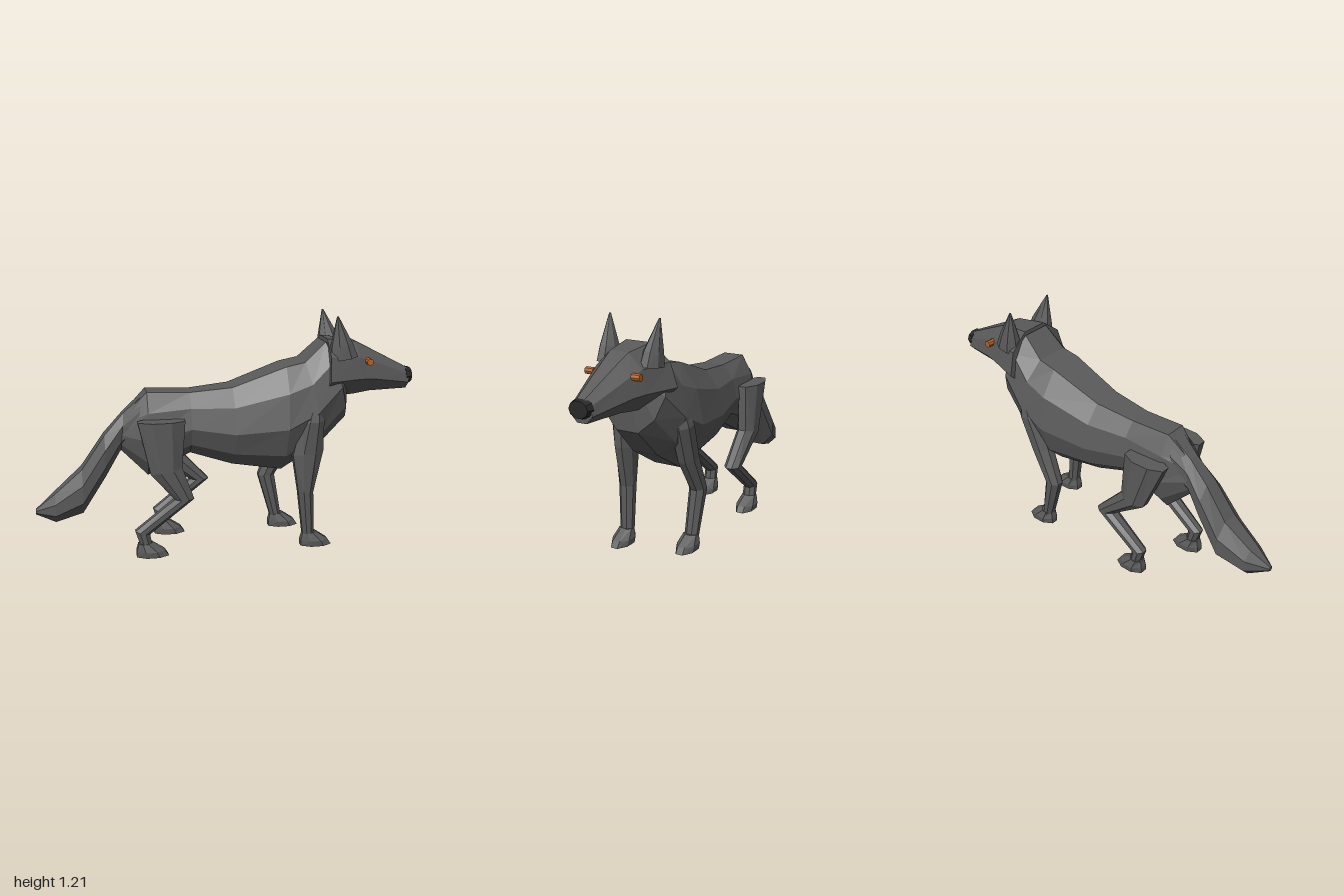
import * as THREE from 'three';

const mat = (name, color) => {
  const m = new THREE.MeshStandardMaterial({ color, flatShading: true });
  m.name = name;
  return m;
};

// cross-sections as [position between the two outline points (-1..1), share of half width]
const mirrored = half => [...half, ...half.map(([v, w]) => [v, -w]).reverse()];
const BODY = mirrored([[1, 0.42], [0.55, 0.84], [-0.1, 1], [-0.65, 0.78], [-1, 0.34]]);
const HEAD = mirrored([[1, 0.34], [0.47, 0.83], [-0.33, 1], [-1, 0.42]]);
const ROUND = mirrored([[1, 0.4], [0.4, 1], [-0.4, 1], [-1, 0.4]]);

// Loft through rings [ax, ay, bx, by, z, halfWidth]; a and b are opposite outline points in the xy plane
function loft(rings, section) {
  const n = section.length, pos = [], index = [];
  for (const [ax, ay, bx, by, z, hw] of rings)
    for (const [v, w] of section) {
      const t = (v + 1) / 2;
      pos.push(bx + (ax - bx) * t, by + (ay - by) * t, z + hw * w);
    }
  const tri = (a, b, c) => index.push(a, b, c);
  for (let r = 0; r < rings.length - 1; r++)
    for (let i = 0; i < n; i++) {
      const a = r * n + i, b = r * n + (i + 1) % n;
      tri(a, b, a + n);
      tri(b, b + n, a + n);
    }
  const last = (rings.length - 1) * n;
  for (let i = 1; i < n - 1; i++) {
    tri(0, i + 1, i);
    tri(last, last + i, last + i + 1);
  }
  // turn the faces outward if the enclosed volume is negative
  const p = i => new THREE.Vector3().fromArray(pos, i * 3);
  let volume = 0;
  for (let i = 0; i < index.length; i += 3)
    volume += p(index[i]).dot(p(index[i + 1]).cross(p(index[i + 2])));
  if (volume < 0) index.reverse();
  const g = new THREE.BufferGeometry();
  g.setAttribute('position', new THREE.Float32BufferAttribute(pos, 3));
  g.setIndex(index);
  const flat = g.toNonIndexed();
  flat.computeVertexNormals();
  return flat;
}

export function createModel() {
  const model = new THREE.Group();
  model.name = 'wolf';
  const fur = mat('grey fur', 0x5a5a5a);
  const black = mat('black nose', 0x282828);
  const amber = mat('amber eye', 0xb8622c);

  const add = (name, geometry, material = fur, parent = model) => {
    const mesh = new THREE.Mesh(geometry, material);
    mesh.name = name;
    parent.add(mesh);
    return mesh;
  };

  // trunk, from rump to neck
  add('body', loft([
    [-0.54, 0.72, -0.56, 0.54, 0, 0.065],
    [-0.42, 0.84, -0.42, 0.40, 0, 0.135],
    [-0.20, 0.83, -0.20, 0.51, 0, 0.14],
    [0.02, 0.85, 0.02, 0.44, 0, 0.18],
    [0.30, 0.95, 0.28, 0.40, 0, 0.22],
    [0.40, 0.97, 0.48, 0.52, 0, 0.21],
    [0.51, 1.07, 0.63, 0.67, 0, 0.18],
    [0.56, 1.04, 0.64, 0.79, 0, 0.12],
  ], BODY));

  // bushy tail, swinging slightly to one side
  add('tail', loft([
    [-0.44, 0.82, -0.50, 0.58, 0, 0.09],
    [-0.54, 0.73, -0.56, 0.53, 0, 0.065],
    [-0.64, 0.62, -0.64, 0.40, 0.01, 0.09],
    [-0.76, 0.45, -0.76, 0.22, 0.02, 0.105],
    [-0.90, 0.33, -0.90, 0.18, 0.035, 0.075],
    [-1.00, 0.25, -1.00, 0.225, 0.05, 0.012],
  ], ROUND));

  // wedge-shaped head with muzzle
  add('head', loft([
    [0.52, 1.085, 0.50, 0.78, 0, 0.205],
    [0.68, 1.065, 0.68, 0.79, 0, 0.15],
    [0.75, 1.03, 0.76, 0.80, 0, 0.126],
    [0.98, 0.91, 0.975, 0.80, 0, 0.06],
  ], HEAD));

  const nose = add('nose', new THREE.CylinderGeometry(0.052, 0.062, 0.035, 10), black);
  nose.rotation.z = -Math.PI / 2;
  nose.scale.x = 0.8;
  nose.position.set(0.9825, 0.867, 0);

  for (const s of [1, -1]) {
    const side = s > 0 ? 'near' : 'far';
    add(side + 'Ear', loft([
      [0.665, 1.0, 0.52, 0.98, s * 0.12, 0.05],
      [0.635, 1.07, 0.525, 1.05, s * 0.122, 0.042],
      [0.555, 1.21, 0.547, 1.21, s * 0.138, 0.004],
    ], ROUND));
    const eye = add(side + 'Eye', new THREE.CylinderGeometry(0.018, 0.018, 0.045, 8), amber);
    eye.rotation.x = s * Math.PI / 2;
    eye.position.set(0.73, 0.97, s * 0.128);
  }

  // paw whose heel starts at x
  const paw = (name, x, z) => add(name, loft([
    [x + 0.165, 0, x, 0, z, 0.048],
    [x + 0.145, 0.03, x, 0.03, z, 0.05],
    [x + 0.08, 0.075, x + 0.01, 0.07, z, 0.037],
  ], ROUND));

  // forelegs: one straight, one bent back
  add('nearForeleg', loft([
    [0.46, 0.80, 0.42, 0.80, 0.16, 0.03],
    [0.48, 0.68, 0.36, 0.68, 0.165, 0.055],
    [0.48, 0.52, 0.32, 0.50, 0.16, 0.05],
    [0.43, 0.30, 0.35, 0.30, 0.168, 0.042],
    [0.44, 0.06, 0.38, 0.06, 0.162, 0.035],
  ], ROUND));
  paw('nearForepaw', 0.37, 0.162);
  add('farForeleg', loft([
    [0.46, 0.80, 0.42, 0.80, -0.16, 0.03],
    [0.47, 0.66, 0.34, 0.68, -0.165, 0.055],
    [0.40, 0.47, 0.28, 0.50, -0.16, 0.05],
    [0.30, 0.30, 0.21, 0.30, -0.168, 0.042],
    [0.34, 0.06, 0.28, 0.06, -0.162, 0.035],
  ], ROUND));
  paw('farForepaw', 0.27, -0.162);

  // hind legs share a hip; the far one reaches further forward by dx
  for (const [side, s, dx] of [['near', 1, 0], ['far', -1, 0.13]]) {
    add(side + 'HindLeg', loft([
      [-0.24, 0.71, -0.48, 0.71, s * 0.15, 0.055],
      [-0.26 + dx * 0.25, 0.47, -0.42 + dx * 0.4, 0.44, s * 0.16, 0.05],
      [-0.20 + dx, 0.30, -0.30 + dx, 0.30, s * 0.165, 0.042],
      [-0.43 + dx, 0.12, -0.505 + dx, 0.14, s * 0.162, 0.034],
      [-0.42 + dx, 0.06, -0.48 + dx, 0.06, s * 0.162, 0.035],
    ], ROUND));
    paw(side + 'HindPaw', -0.5 + dx, s * 0.162);
  }

  return model;
}
